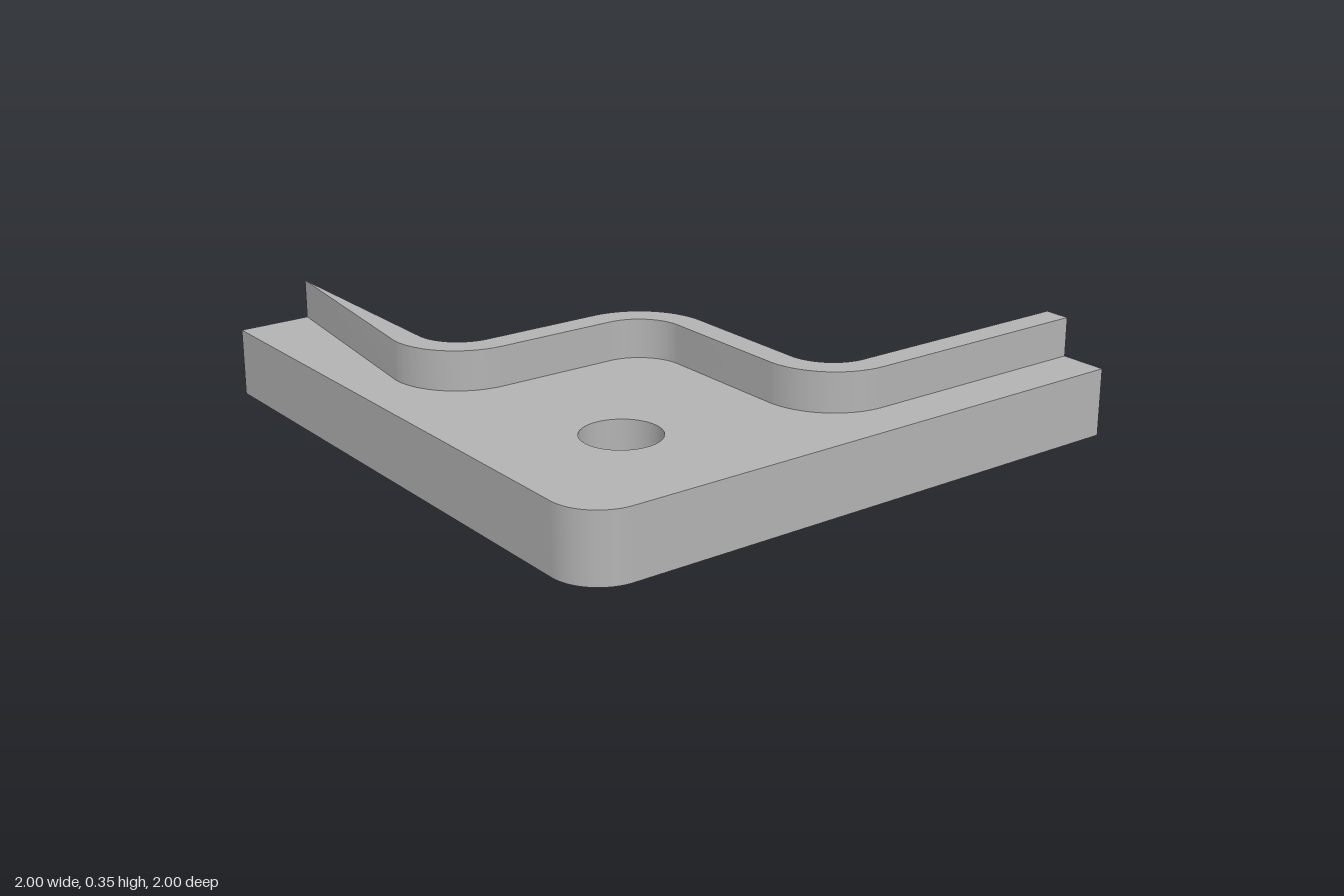
import * as THREE from 'three';
import { toCreasedNormals } from 'three/addons/utils/BufferGeometryUtils.js';

const BASE_TOP = 0.225;
const WALL_TOP = 0.355;
const IN = 0.156;   // inner bend radius of the rib
const OUT = 0.242;  // outer bend radius of the rib
const { PI } = Math;

// Bend centres in plan (x, -z): first arm, bulge, second arm
const A = [-0.6, 0.246];
const B = [-0.2, -0.154];
const C = [0.2, -0.6];

// Extrudes a plan shape upward from y0 to y1
function slab(name, shape, y0, y1, material) {
  const geometry = new THREE.ExtrudeGeometry(shape, {
    depth: y1 - y0, bevelEnabled: false, curveSegments: 24,
  });
  geometry.rotateX(-PI / 2);
  geometry.translate(0, y0, 0);
  const mesh = new THREE.Mesh(toCreasedNormals(geometry, 0.6), material);
  mesh.name = name;
  return mesh;
}

// L-shaped plate with rounded outer corner, bulging inner corner and a bolt hole
function plateShape() {
  const f = 0.015;
  const s = new THREE.Shape();
  s.moveTo(-1, 1);
  s.lineTo(-1, -0.84);
  s.absarc(-0.84, -0.84, 0.16, PI, 1.5 * PI, false);
  s.lineTo(1, -1);
  s.lineTo(1, C[1]);
  s.lineTo(C[0] + f, C[1]);
  s.absarc(C[0] + f, C[1] + f, f, 1.5 * PI, PI, true);
  s.absarc(B[0], B[1], 0.4, 0, PI / 2, false);
  s.lineTo(A[0] + f, A[1]);
  s.absarc(A[0] + f, A[1] + f, f, 1.5 * PI, PI, true);
  s.lineTo(A[0], 1);
  s.closePath();

  const hole = new THREE.Path();
  hole.absarc(-0.557, -0.553, 0.126, 0, 2 * PI, true);
  s.holes.push(hole);
  return s;
}

// Constant-width rib that winds from one arm to the other
function ribShape() {
  const s = new THREE.Shape();
  s.moveTo(A[0] - OUT, 1);
  s.absarc(A[0], A[1], OUT, PI, 1.5 * PI, false);
  s.absarc(B[0], B[1], IN, PI / 2, 0, true);
  s.absarc(C[0], C[1], OUT, PI, 1.5 * PI, false);
  s.lineTo(1, C[1] - OUT);
  s.lineTo(1, C[1] - IN);
  s.absarc(C[0], C[1], IN, 1.5 * PI, PI, true);
  s.absarc(B[0], B[1], OUT, 0, PI / 2, false);
  s.absarc(A[0], A[1], IN, 1.5 * PI, PI, true);
  s.lineTo(A[0] - IN, 1);
  s.closePath();
  return s;
}

export function createModel() {
  const grey = new THREE.MeshStandardMaterial({ color: 0xb3b3b3 });
  grey.name = 'grey';

  const model = new THREE.Group();
  model.name = 'cornerBracket';
  model.add(slab('basePlate', plateShape(), 0, BASE_TOP, grey));
  model.add(slab('windingRib', ribShape(), BASE_TOP, WALL_TOP, grey));
  return model;
}
